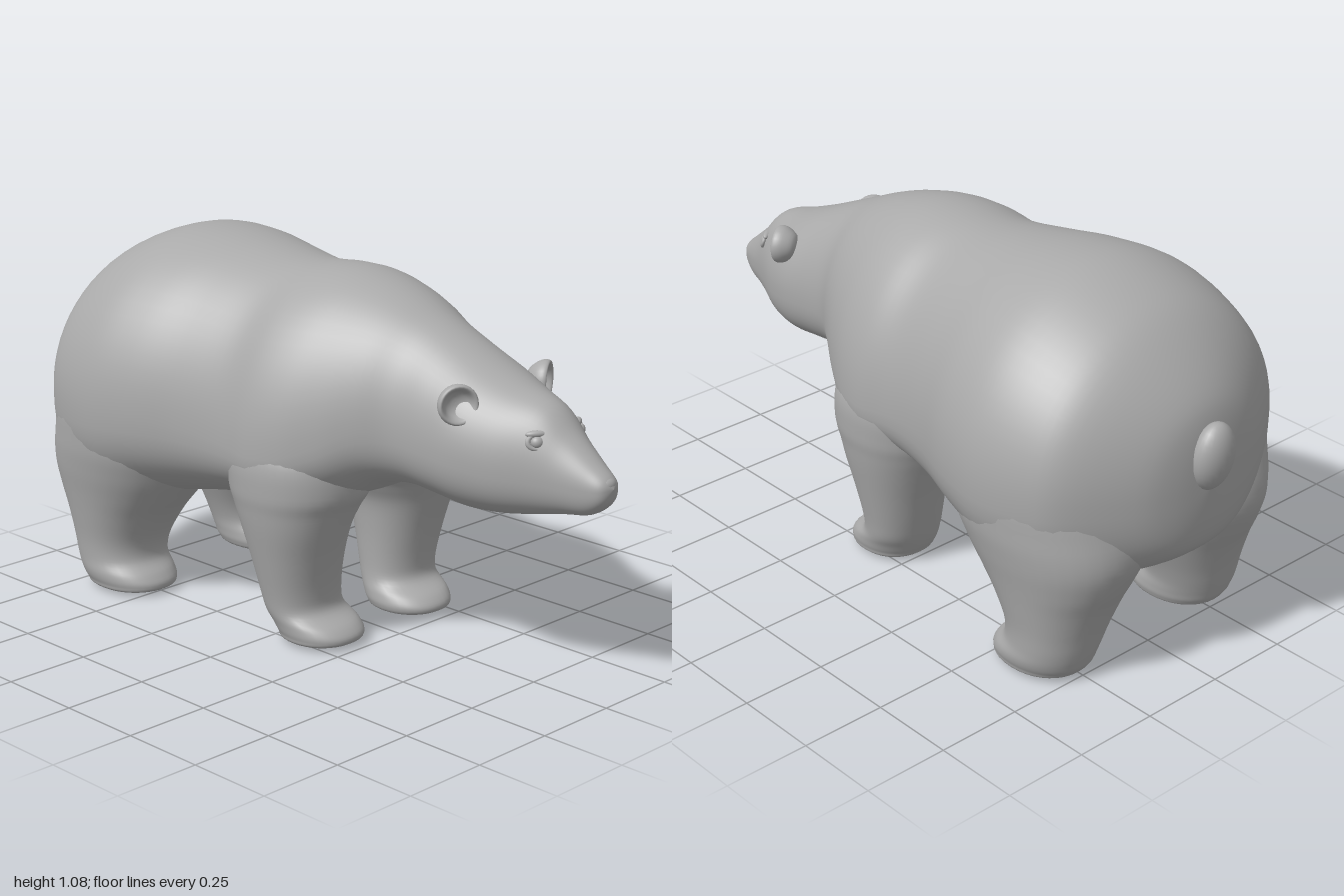
import * as THREE from 'three';

const fur = new THREE.MeshStandardMaterial({ color: 0xaaaaaa });
fur.name = 'grey fur';

const lerpRow = (rows, i, s) => {
  // Catmull-Rom blend between neighbouring cross-sections
  const at = (k) => rows[Math.max(0, Math.min(rows.length - 1, k))];
  const [a, b, c, d] = [at(i - 1), at(i), at(i + 1), at(i + 2)];
  return b.map((_, k) => b[k] + 0.5 * s * (c[k] - a[k]
    + s * (2 * a[k] - 5 * b[k] + 4 * c[k] - d[k]
    + s * (3 * (b[k] - c[k]) + d[k] - a[k]))));
};

// Smooth skin over rounded cross-sections [t, uLow, uHigh, vLow, vMid, vHigh]
function loft(rows, place, lowPower, highPower, sides = 48, steps = 5) {
  const pos = [], index = [];
  const rings = (rows.length - 1) * steps + 1;
  for (let r = 0; r < rings; r++) {
    const i = Math.min(rows.length - 2, Math.floor(r / steps));
    const [t, uLow, uHigh, vLow, vMid, vHigh] = lerpRow(rows, i, r / steps - i);
    for (let j = 0; j < sides; j++) {
      const a = (j / sides) * Math.PI * 2, c = Math.cos(a), s = Math.sin(a);
      const e = 2 / (s < 0 ? lowPower : highPower);
      const u = (uLow + uHigh) / 2 + (uHigh - uLow) / 2 * Math.sign(c) * Math.abs(c) ** e;
      const v = vMid + (s < 0 ? vMid - vLow : vHigh - vMid) * Math.sign(s) * Math.abs(s) ** e;
      pos.push(...place(u, v, t));
    }
  }
  for (let r = 0; r < rings - 1; r++) {
    for (let j = 0; j < sides; j++) {
      const a = r * sides + j, b = r * sides + (j + 1) % sides;
      index.push(a, b, a + sides, b, b + sides, a + sides);
    }
  }
  const g = new THREE.BufferGeometry();
  g.setAttribute('position', new THREE.Float32BufferAttribute(pos, 3));
  g.setIndex(index);
  g.computeVertexNormals();
  return g;
}

function add(parent, name, geometry) {
  const mesh = new THREE.Mesh(geometry, fur);
  mesh.name = name;
  parent.add(mesh);
  return mesh;
}

// Rump to nose: z, half width, bottom, widest height, top
const BODY = [
  [-0.95, 0, 0.58, 0.58, 0.58],
  [-0.938, 0.12, 0.43, 0.58, 0.74],
  [-0.9, 0.235, 0.36, 0.59, 0.84],
  [-0.8, 0.39, 0.3, 0.6, 0.96],
  [-0.7, 0.45, 0.27, 0.6, 1.03],
  [-0.55, 0.477, 0.27, 0.6, 1.08],
  [-0.4, 0.452, 0.315, 0.6, 1.08],
  [-0.25, 0.4, 0.345, 0.59, 1.06],
  [-0.1, 0.37, 0.37, 0.57, 1.04],
  [0.02, 0.385, 0.395, 0.56, 1.047],
  [0.12, 0.365, 0.405, 0.57, 1.045],
  [0.22, 0.315, 0.44, 0.61, 1.025],
  [0.31, 0.26, 0.485, 0.66, 0.995],
  [0.4, 0.21, 0.495, 0.67, 0.955],
  [0.5, 0.198, 0.485, 0.66, 0.91],
  [0.6, 0.195, 0.475, 0.65, 0.865],
  [0.7, 0.165, 0.48, 0.63, 0.825],
  [0.8, 0.117, 0.498, 0.62, 0.79],
  [0.87, 0.085, 0.512, 0.61, 0.725],
  [0.94, 0.058, 0.525, 0.6, 0.668],
  [0.985, 0.036, 0.56, 0.6, 0.632],
  [1.0, 0, 0.605, 0.605, 0.605],
];

// Top to sole: y, inner x, outer x, back z, front z
const FRONT_LEG = [
  [0.68, 0.1, 0.32, -0.08, 0.15],
  [0.56, 0.03, 0.378, -0.16, 0.23],
  [0.46, 0.0, 0.382, -0.16, 0.245],
  [0.4, 0.03, 0.373, -0.135, 0.222],
  [0.34, 0.06, 0.362, -0.108, 0.2],
  [0.25, 0.072, 0.342, -0.078, 0.172],
  [0.15, 0.077, 0.32, -0.052, 0.152],
  [0.095, 0.075, 0.31, -0.037, 0.158],
  [0.06, 0.066, 0.303, -0.025, 0.215],
  [0.03, 0.065, 0.296, -0.01, 0.238],
  [0.01, 0.085, 0.28, 0.01, 0.215],
  [0, 0.18, 0.18, 0.1, 0.1],
];
const HIND_LEG = [
  [0.72, 0.15, 0.38, -0.7, -0.45],
  [0.6, 0.06, 0.458, -0.82, -0.34],
  [0.48, 0.0, 0.462, -0.87, -0.31],
  [0.39, 0.01, 0.448, -0.882, -0.35],
  [0.31, 0.05, 0.43, -0.858, -0.415],
  [0.24, 0.08, 0.416, -0.826, -0.473],
  [0.16, 0.115, 0.402, -0.798, -0.518],
  [0.1, 0.135, 0.397, -0.782, -0.522],
  [0.06, 0.14, 0.397, -0.77, -0.485],
  [0.03, 0.145, 0.388, -0.757, -0.468],
  [0.01, 0.165, 0.37, -0.73, -0.49],
  [0, 0.26, 0.26, -0.62, -0.62],
];

const leg = (rows, side) => loft(
  rows.map(([y, a, b, back, front]) =>
    [y, side > 0 ? a : -b, side > 0 ? b : -a, back, (back + front) / 2, front]),
  (u, v, t) => [u, t, v], 2.15, 2.15, 36);

// Shallow cup facing forwards
function earGeometry() {
  const profile = [[0, -0.05], [0.03, -0.042], [0.05, -0.018], [0.056, 0.002], [0.052, 0.014],
    [0.043, 0.01], [0.032, -0.01], [0.015, -0.02], [0, -0.022]];
  const curve = new THREE.SplineCurve(profile.map(([r, y]) => new THREE.Vector2(r, y)));
  const points = curve.getPoints(28);
  points.forEach((p) => { p.x = Math.max(0, p.x); });
  return new THREE.LatheGeometry(points, 28).rotateX(Math.PI / 2);
}

function ball(rx, ry, rz) {
  return new THREE.SphereGeometry(1, 24, 16).scale(rx, ry, rz);
}

export function createModel() {
  const bear = new THREE.Group();
  bear.name = 'bear';

  add(bear, 'bodyAndHead', loft(
    BODY.map(([z, w, low, mid, high]) => [z, -w, w, low, mid, high]),
    (u, v, t) => [u, v, t], 2.55, 2.05, 64));

  // Stubby tail hanging from the rump
  const tail = add(bear, 'tail', ball(0.068, 0.1, 0.05));
  tail.position.set(0, 0.665, -0.947);
  tail.rotation.x = -0.12;

  // Nose pad
  add(bear, 'nose', ball(0.034, 0.024, 0.028)).position.set(0, 0.612, 0.969);

  for (const side of [1, -1]) {
    const label = side > 0 ? 'left' : 'right';
    add(bear, label + 'FrontLeg', leg(FRONT_LEG, side));
    add(bear, label + 'HindLeg', leg(HIND_LEG, side));

    const ear = add(bear, label + 'Ear', earGeometry());
    ear.position.set(side * 0.174, 0.788, 0.615);
    ear.rotation.y = side * 0.5;

    // Eyeball inside an almond-shaped lid, with a soft brow
    const eye = new THREE.Group();
    eye.name = label + 'Eye';
    eye.position.set(side * 0.087, 0.71, 0.813);
    eye.lookAt(side * 0.62, 1.0, 1.6);
    add(eye, 'eyeball', ball(0.017, 0.016, 0.014));
    add(eye, 'eyelid', new THREE.TorusGeometry(0.021, 0.006, 10, 28).scale(1.2, 0.9, 1));
    add(eye, 'brow', ball(0.03, 0.01, 0.012)).position.set(0, 0.021, -0.002);
    bear.add(eye);
  }
  return bear;
}
